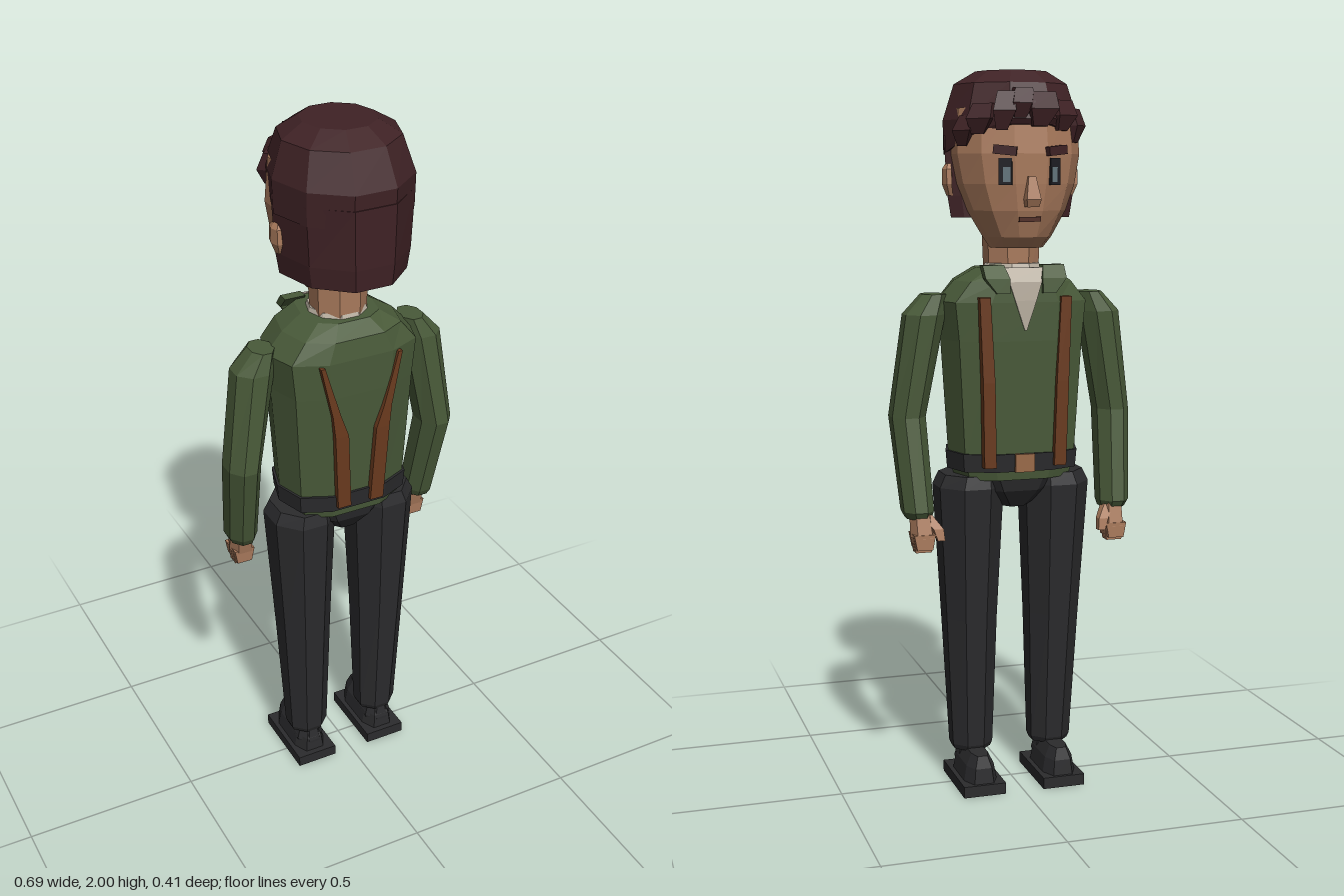
import * as THREE from 'three';

const mat = (name, color) => {
  const m = new THREE.MeshStandardMaterial({ color });
  m.name = name;
  return m;
};

// Faceted solid through rings [y, centreX, centreZ, halfWidth, halfDepth], bottom to top.
// power below 1 squares the rings; bend may move each vertex.
function loft(rings, n, power = 1, bend = null) {
  const unit = [];
  for (let j = 0; j < n; j++) {
    const a = ((j + 0.5) / n) * Math.PI * 2;
    const f = (v) => (Math.abs(v) < 1e-6 ? 0 : Math.sign(v) * Math.abs(v) ** power);
    unit.push([f(Math.sin(a)), f(Math.cos(a))]);
  }
  const mx = Math.max(...unit.map((u) => u[0]));
  const mz = Math.max(...unit.map((u) => u[1]));
  const pos = [];
  const idx = [];
  rings.forEach(([y, cx, cz, rx, rz], i) => {
    for (const [u, w] of unit) {
      const v = new THREE.Vector3(cx + (u / mx) * rx, y, cz + (w / mz) * rz);
      if (bend) bend(v, i);
      pos.push(v.x, v.y, v.z);
    }
  });
  const top = (rings.length - 1) * n;
  for (let i = 0; i < rings.length - 1; i++) {
    for (let j = 0; j < n; j++) {
      const a = i * n + j, b = i * n + ((j + 1) % n);
      idx.push(a, b, b + n, a, b + n, a + n);
    }
  }
  for (let j = 1; j < n - 1; j++) {
    idx.push(0, j + 1, j, top, top + j, top + j + 1);
  }
  const g = new THREE.BufferGeometry();
  g.setAttribute('position', new THREE.Float32BufferAttribute(pos, 3));
  g.setIndex(idx);
  const flat = g.toNonIndexed();
  flat.computeVertexNormals();
  return flat;
}

export function createModel() {
  const root = new THREE.Group();
  root.name = 'standingMan';
  const hair = mat('hair', 0x3f2225);
  const skin = mat('skin', 0xa97a5c);
  const green = mat('jacketGreen', 0x495a39);
  const dark = mat('trousers', 0x2b2b2d);
  const leather = mat('strapLeather', 0x6a3a1e);
  const shirt = mat('shirt', 0xb8ae9f);
  const black = mat('eyeDark', 0x1e1e24);
  const iris = mat('iris', 0x66787f);
  const lip = mat('mouth', 0x4f2a22);
  const brass = mat('buckle', 0x9a6a48);

  const add = (name, geo, material, parent = root) => {
    const m = new THREE.Mesh(geo, material);
    m.name = name;
    parent.add(m);
    return m;
  };
  const box = (name, w, h, d, x, y, z, material, yaw = 0, roll = 0) => {
    const m = add(name, new THREE.BoxGeometry(w, h, d), material);
    m.position.set(x, y, z);
    m.rotation.set(0, yaw, roll);
    return m;
  };

  // Head and neck
  add('head', loft([
    [1.53, 0, -0.05, 0.07, 0.07], [1.56, 0, -0.055, 0.09, 0.1], [1.63, 0, -0.05, 0.13, 0.125],
    [1.7, 0, -0.04, 0.157, 0.142], [1.78, 0, -0.035, 0.172, 0.15], [1.9, 0, -0.03, 0.165, 0.14],
  ], 12), skin);
  add('neck', loft([[1.44, 0, 0, 0.07, 0.068], [1.57, 0, 0, 0.075, 0.07]], 8), skin);

  // Hair: crown whose lower edge rises over the forehead, and a block behind the ears
  add('hairCrown', loft([
    [1.78, 0, 0.01, 0.188, 0.19], [1.87, 0, 0.008, 0.19, 0.196], [1.965, 0, 0.005, 0.16, 0.155],
    [2.0, 0, 0, 0.1, 0.1],
  ], 10, 1, (v, i) => {
    if (i === 0 && v.z < -0.03) v.y += v.z < -0.13 ? 0.075 : 0.045;
  }), hair);
  add('hairBack', loft([
    [1.61, 0, 0, 0.17, 0.198], [1.67, 0, 0, 0.18, 0.203], [1.83, 0, 0, 0.19, 0.205],
  ], 10, 1, (v) => { v.z = Math.max(v.z, -0.018); }), hair);
  // Fringe locks [x, z, bottom, top, half width, yaw]
  for (const [x, z, y0, y1, w, yaw] of [
    [-0.14, -0.11, 1.81, 1.9, 0.03, 0.85], [-0.095, -0.15, 1.84, 1.92, 0.035, 0.5],
    [-0.03, -0.178, 1.85, 1.94, 0.04, 0.1], [0.025, -0.175, 1.87, 1.95, 0.03, 0],
    [0.07, -0.172, 1.84, 1.94, 0.03, -0.3], [0.12, -0.13, 1.83, 1.91, 0.035, -0.7],
    [0.15, -0.09, 1.8, 1.88, 0.03, -0.95],
  ]) {
    const lock = add('fringeLock', loft([
      [y0, 0.008, 0, w * 0.5, 0.012], [(y0 + y1) / 2, 0, -0.006, w, 0.02], [y1, -0.005, 0.012, w * 0.8, 0.02],
    ], 4), hair);
    lock.position.set(x, 0, z);
    lock.rotation.y = yaw;
  }

  // Face
  add('nose', loft([
    [1.64, 0, -0.18, 0.016, 0.02], [1.66, 0, -0.185, 0.02, 0.024], [1.72, 0, -0.178, 0.01, 0.014],
  ], 4), skin);
  box('mouth', 0.06, 0.013, 0.009, 0, 1.608, -0.171, lip);

  // Torso
  add('jacket', loft([
    [0.895, 0, 0, 0.165, 0.113], [0.95, 0, 0, 0.182, 0.12], [1.28, 0, 0, 0.203, 0.135],
    [1.385, 0, 0, 0.215, 0.136], [1.44, 0, -0.003, 0.165, 0.13], [1.475, 0, -0.012, 0.105, 0.103],
  ], 10, 0.7), green);
  add('shirtFront', loft([
    [1.31, 0, -0.135, 0.003, 0.004], [1.39, 0, -0.136, 0.03, 0.004], [1.44, 0, -0.133, 0.046, 0.004],
    [1.478, 0, -0.115, 0.055, 0.004],
  ], 4), shirt);
  add('shirtCollar', loft([[1.46, 0, -0.01, 0.088, 0.088], [1.487, 0, -0.01, 0.078, 0.078]], 10), shirt);
  add('belt', loft([[0.92, 0, 0, 0.186, 0.124], [0.97, 0, 0, 0.19, 0.128]], 10, 0.7), dark);
  box('beltBuckle', 0.055, 0.05, 0.02, 0, 0.945, -0.126, brass);
  add('pelvis', loft([
    [0.81, 0, 0, 0.045, 0.06], [0.86, 0, 0, 0.12, 0.095], [0.905, 0, 0, 0.16, 0.105],
  ], 8), dark);

  for (const s of [1, -1]) {
    const side = s > 0 ? 'left' : 'right';
    const mir = (rings) => rings.map(([y, cx, ...r]) => [y, cx * s, ...r]);

    // Eyes, brows, ears
    box(side + 'Eye', 0.036, 0.07, 0.009, s * 0.068, 1.733, -0.172, black, -s * 0.46);
    box(side + 'Iris', 0.02, 0.04, 0.004, s * 0.066, 1.725, -0.178, iris, -s * 0.46);
    box(side + 'Brow', 0.062, 0.024, 0.024, s * 0.07, 1.788, -0.176, hair, -s * 0.4, s * 0.1);
    add(side + 'Ear', loft(mir([
      [1.67, 0.172, 0.005, 0.01, 0.014], [1.7, 0.18, 0.005, 0.014, 0.026], [1.74, 0.18, 0.005, 0.014, 0.024],
      [1.755, 0.176, 0.005, 0.008, 0.012],
    ]), 6), skin);

    // Collar flap and straps
    add(side + 'Lapel', loft(mir([
      [1.41, 0.065, -0.136, 0.018, 0.012], [1.45, 0.08, -0.13, 0.034, 0.014], [1.485, 0.085, -0.1, 0.03, 0.016],
    ]), 4), green);
    add(side + 'FrontStrap', loft(mir([
      [0.935, 0.1, -0.125, 0.017, 0.014], [1.17, 0.105, -0.131, 0.017, 0.014], [1.4, 0.115, -0.13, 0.015, 0.012],
    ]), 4), leather);
    add(side + 'BackStrap', loft(mir([
      [0.935, 0.05, 0.124, 0.02, 0.014], [1.165, 0.062, 0.132, 0.02, 0.014],
      [1.23, 0.077, 0.134, 0.012, 0.011], [1.38, 0.115, 0.132, 0.006, 0.008],
    ]), 4), leather);

    // Arm
    add(side + 'Sleeve', loft(mir([
      [0.795, 0.283, -0.05, 0.034, 0.044], [0.815, 0.285, -0.05, 0.042, 0.055],
      [1.07, 0.298, 0.006, 0.047, 0.062], [1.35, 0.252, -0.008, 0.055, 0.06],
      [1.405, 0.225, -0.008, 0.032, 0.045],
    ]), 8), green);
    add(side + 'Hand', loft(mir([
      [0.745, 0.277, -0.075, 0.034, 0.036], [0.81, 0.28, -0.06, 0.03, 0.034],
    ]), 6, 0.7), skin);
    for (let k = 0; k < 4; k++) {
      add(side + 'Finger', loft(mir([
        [0.703 + (k % 3 ? 0 : 0.01), 0.278, -0.103 + k * 0.018, 0.022, 0.008],
        [0.755, 0.278, -0.102 + k * 0.018, 0.03, 0.0088],
      ]), 4), skin);
    }
    add(side + 'Thumb', loft(mir([
      [0.738, 0.233, -0.106, 0.01, 0.01], [0.77, 0.24, -0.098, 0.014, 0.013], [0.805, 0.265, -0.07, 0.014, 0.014],
    ]), 4), skin);

    // Leg and shoe
    add(side + 'TrouserLeg', loft(mir([
      [0.1, 0.117, 0.014, 0.052, 0.05], [0.115, 0.117, 0.014, 0.058, 0.056], [0.49, 0.122, 0.01, 0.073, 0.08],
      [0.87, 0.125, 0.003, 0.092, 0.103], [0.905, 0.12, 0.003, 0.08, 0.093],
    ]), 8), dark);
    add(side + 'Ankle', loft(mir([
      [0.025, 0.117, 0.02, 0.03, 0.05], [0.065, 0.117, 0.02, 0.042, 0.05], [0.11, 0.117, 0.02, 0.03, 0.04],
    ]), 8), dark);
    add(side + 'ShoeUpper', loft(mir([
      [0.03, 0.117, -0.027, 0.048, 0.1], [0.075, 0.117, -0.027, 0.04, 0.095], [0.108, 0.117, -0.03, 0.024, 0.08],
    ]), 8, 0.6), dark);
    box(side + 'Sole', 0.122, 0.032, 0.226, s * 0.117, 0.016, -0.023, dark);
  }
  return root;
}
